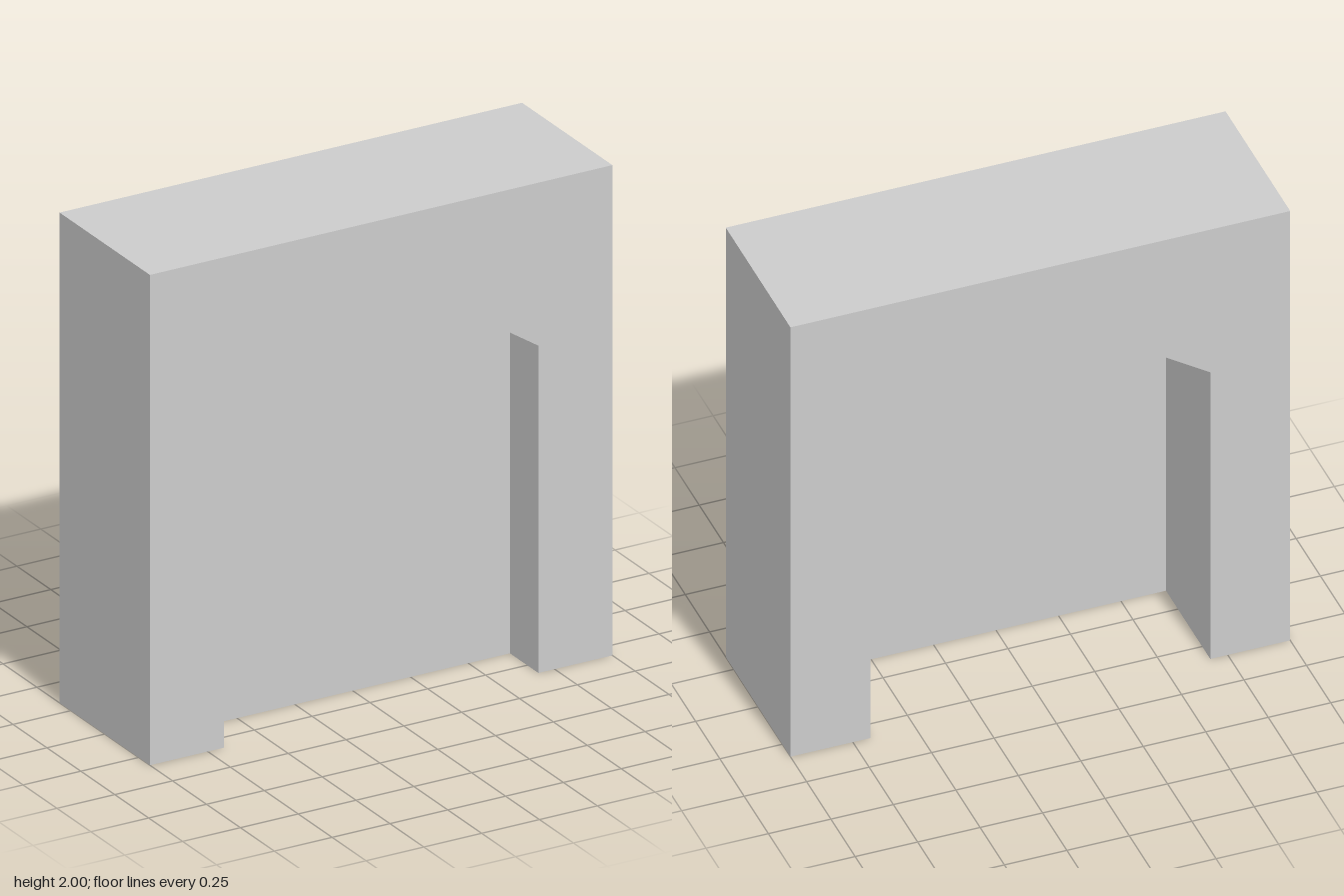
import * as THREE from 'three';

const material = new THREE.MeshStandardMaterial({ color: 0xcccccc, flatShading: true, side: THREE.DoubleSide });
const HALF_DEPTH = 0.333;
const DOOR_Z = 0.123;

const toShape = (points) => new THREE.Shape(points.map(([x, y]) => new THREE.Vector2(x, y)));

function addMesh(parent, name, geometry) {
  const mesh = new THREE.Mesh(geometry, material);
  mesh.name = name;
  parent.add(mesh);
  return mesh;
}

// Ribbon of quads following an open path through the depth of the wall
function ribbon(path) {
  const d = HALF_DEPTH;
  const vertices = [];
  for (let i = 0; i < path.length - 1; i++) {
    const [ax, ay] = path[i];
    const [bx, by] = path[i + 1];
    vertices.push(ax, ay, d, ax, ay, -d, bx, by, -d);
    vertices.push(ax, ay, d, bx, by, -d, bx, by, d);
  }
  const geometry = new THREE.BufferGeometry();
  geometry.setAttribute('position', new THREE.Float32BufferAttribute(vertices, 3));
  geometry.computeVertexNormals();
  return geometry;
}

export function createModel() {
  const model = new THREE.Group();
  model.name = 'doorway';

  // Hollow wall, open underneath
  const wall = new THREE.Group();
  wall.name = 'wall';
  model.add(wall);
  const outer = [[1, 0], [1, 2], [-1, 2], [-1, 0]];
  const opening = [[-0.68, 0], [-0.68, 1.335], [-0.255, 1.615], [0.255, 1.615], [0.68, 1.335], [0.68, 0]];
  const face = new THREE.ShapeGeometry(toShape([...outer, ...opening]));
  addMesh(wall, 'frontFace', face).position.z = HALF_DEPTH;
  const back = addMesh(wall, 'backFace', face);
  back.position.z = -HALF_DEPTH;
  back.rotation.y = Math.PI;
  addMesh(wall, 'outerSides', ribbon(outer));
  addMesh(wall, 'openingSides', ribbon(opening));

  // Two thin door leaves meeting along a stepped seam, their edges tucked into the wall
  const top = 1.65;
  const seam = [[-0.16, 0], [-0.16, 0.75], [0.17, 1], [0.17, top]];
  const leaves = { leftDoorLeaf: 0.745, rightDoorLeaf: -0.86 };
  for (const [name, edge] of Object.entries(leaves)) {
    const leaf = new THREE.ShapeGeometry(toShape([...seam, [edge, top], [edge, 0]]));
    addMesh(model, name, leaf).position.z = DOOR_Z;
  }

  return model;
}
